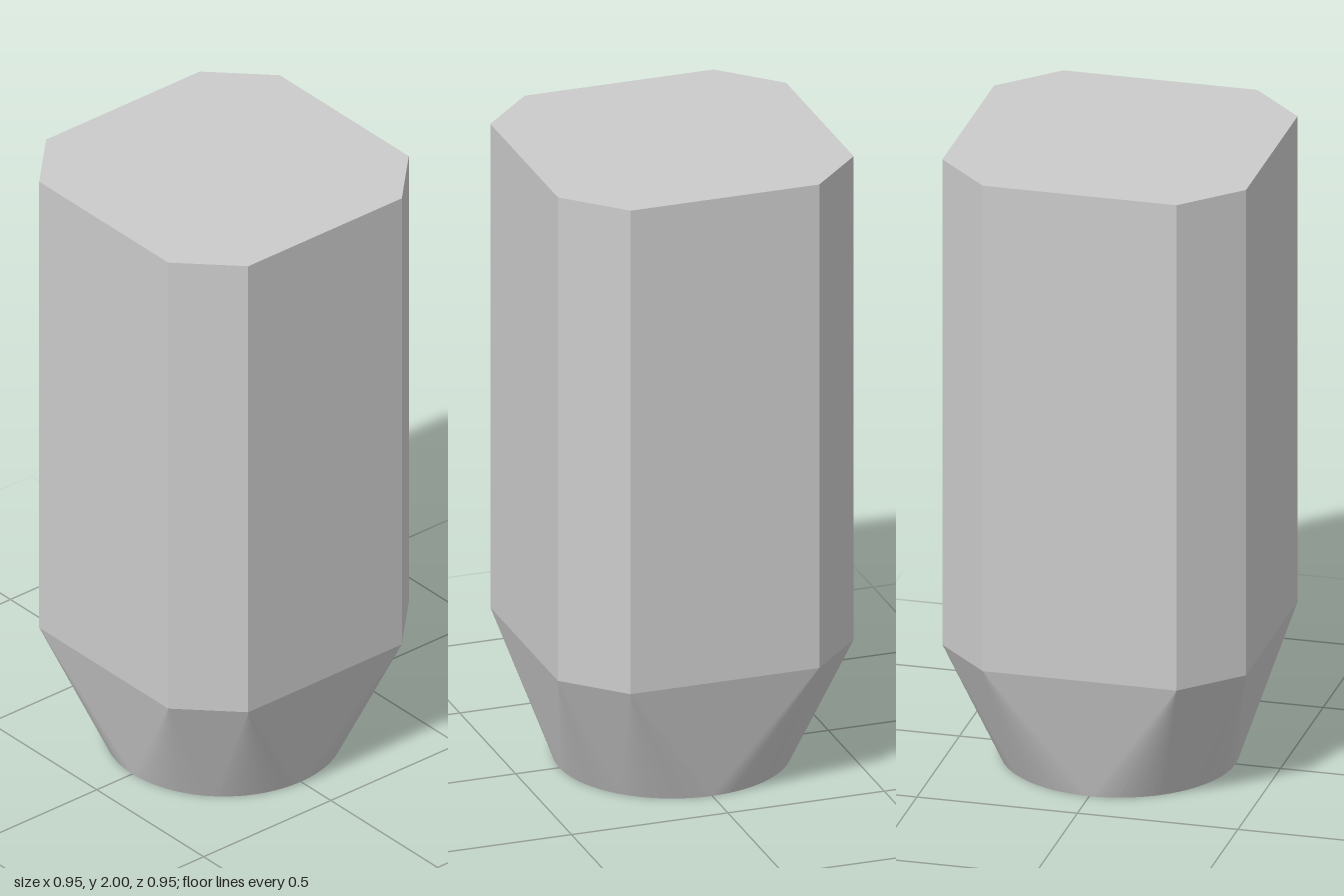
import * as THREE from 'three';

const HALF = 0.473, CUT = 0.302;            // chamfered-square section
const TOP = 2, SHOULDER = 0.42, RADIUS = 0.36;
const STEPS = 16;                           // circle segments per eighth turn

// Section corners in order of angle from +x towards +z
const corners = [
  [HALF, CUT], [CUT, HALF], [-CUT, HALF], [-HALF, CUT],
  [-HALF, -CUT], [-CUT, -HALF], [CUT, -HALF], [HALF, -CUT],
];
const corner = (i, y) => [corners[i % 8][0], y, corners[i % 8][1]];
const rim = (a) => [RADIUS * Math.cos(a), 0, RADIUS * Math.sin(a)];

function makePart(name, points) {
  const geometry = new THREE.BufferGeometry();
  geometry.setAttribute('position', new THREE.Float32BufferAttribute(points.flat(), 3));
  geometry.computeVertexNormals();
  const material = new THREE.MeshStandardMaterial({ color: 0xcccccc, flatShading: true });
  const mesh = new THREE.Mesh(geometry, material);
  mesh.name = name;
  return mesh;
}

export function createModel() {
  const walls = [], lid = [], taper = [], base = [];
  const eighth = Math.PI / 4;

  for (let i = 0; i < 8; i++) {
    const low = corner(i, SHOULDER), lowNext = corner(i + 1, SHOULDER);
    const high = corner(i, TOP), highNext = corner(i + 1, TOP);

    // Upright wall and its slice of the flat top
    walls.push(low, high, highNext, low, highNext, lowNext);
    lid.push([0, TOP, 0], highNext, high);

    // Flat triangle below each wall, meeting the round rim at a point
    taper.push(low, lowNext, rim((i + 1) * eighth));

    // Conical fan from each corner to its arc of the rim
    for (let s = 0; s < STEPS; s++) {
      const p = rim((i + s / STEPS) * eighth);
      const q = rim((i + (s + 1) / STEPS) * eighth);
      taper.push(low, q, p);
      base.push([0, 0, 0], p, q);
    }
  }

  const group = new THREE.Group();
  group.name = 'taperedOctagonalBlock';
  group.add(
    makePart('walls', walls),
    makePart('top', lid),
    makePart('taper', taper),
    makePart('roundBase', base),
  );
  return group;
}
